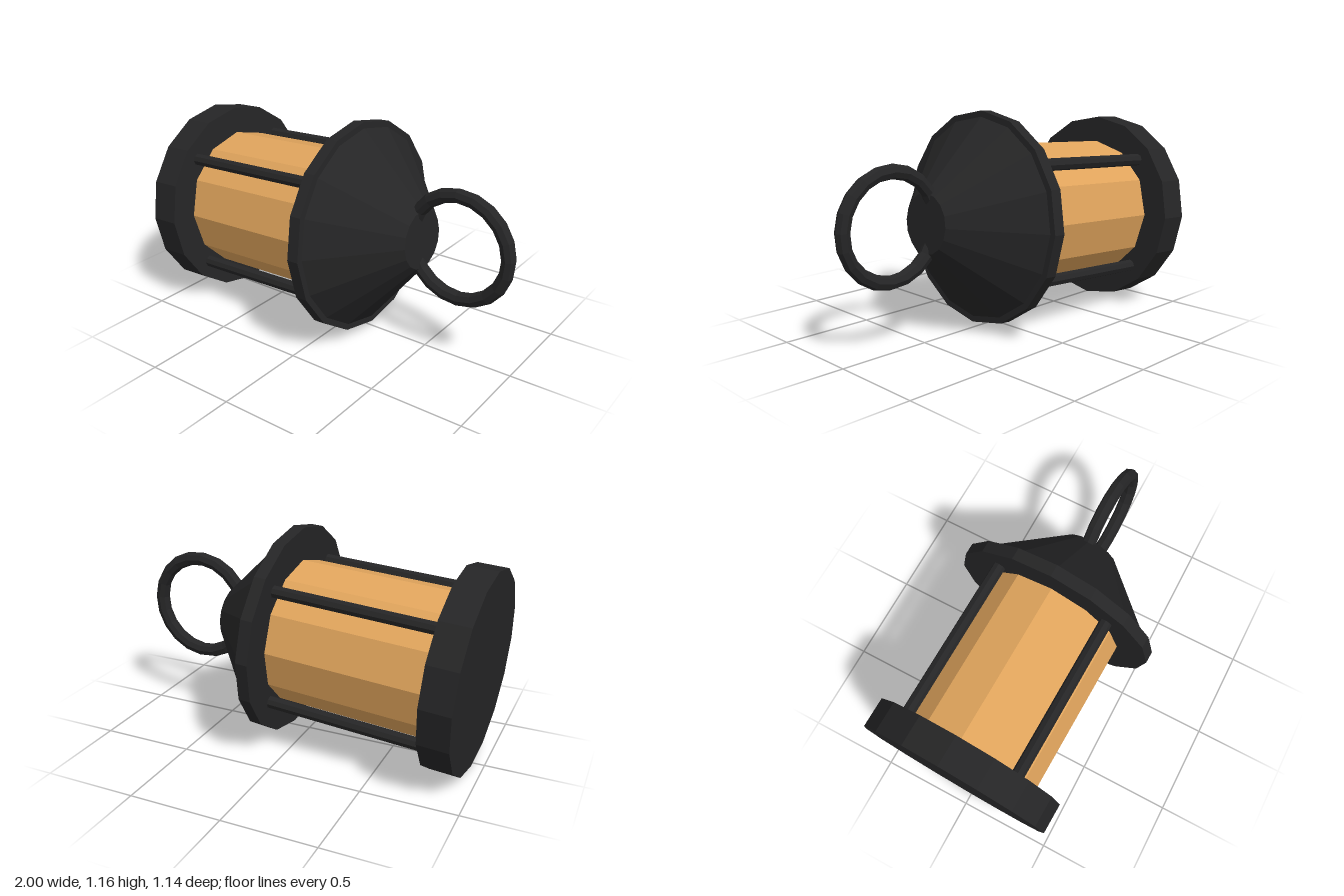
import * as THREE from 'three';

export function createModel() {
  const blackIron = new THREE.MeshStandardMaterial({ color: 0x252526, flatShading: true });
  blackIron.name = 'blackIron';
  const amberGlass = new THREE.MeshStandardMaterial({ color: 0xe0a45c, flatShading: true });
  amberGlass.name = 'amberGlass';

  // The lantern is built upright along y, then laid on its side
  const lantern = new THREE.Group();
  lantern.name = 'lantern';

  function add(name, geometry, material, x, y, z) {
    const mesh = new THREE.Mesh(geometry, material);
    mesh.name = name;
    mesh.position.set(x, y, z);
    lantern.add(mesh);
    return mesh;
  }

  // Upright prism or frustum spanning heights y0 to y1
  function drum(name, rTop, rBottom, y0, y1, sides, material, x = 0, z = 0) {
    const geometry = new THREE.CylinderGeometry(rTop, rBottom, y1 - y0, sides);
    return add(name, geometry, material, x, (y0 + y1) / 2, z);
  }

  drum('base', 0.533, 0.533, 0, 0.162, 16, blackIron);
  drum('glass', 0.39, 0.39, 0.155, 1.035, 12, amberGlass);
  drum('roofRim', 0.567, 0.567, 1.03, 1.095, 16, blackIron);
  drum('roofCone', 0.157, 0.54, 1.09, 1.44, 16, blackIron);

  // Four bars standing clear of the glass, on the diagonals
  for (let i = 0; i < 4; i++) {
    const a = Math.PI / 4 + (i * Math.PI) / 2;
    drum('bar', 0.033, 0.033, 0.155, 1.035, 8, blackIron, 0.437 * Math.cos(a), 0.437 * Math.sin(a));
  }

  // Carrying ring
  add('ring', new THREE.TorusGeometry(0.275, 0.038, 8, 20), blackIron, 0, 1.653, 0);

  // Lay it down, resting on the base and tilted slightly
  lantern.rotation.set(0, -0.034, -Math.PI / 2 + 0.058, 'YXZ');
  lantern.position.set(-0.969, 0.534, -0.035);

  const model = new THREE.Group();
  model.name = 'model';
  model.add(lantern);
  return model;
}
